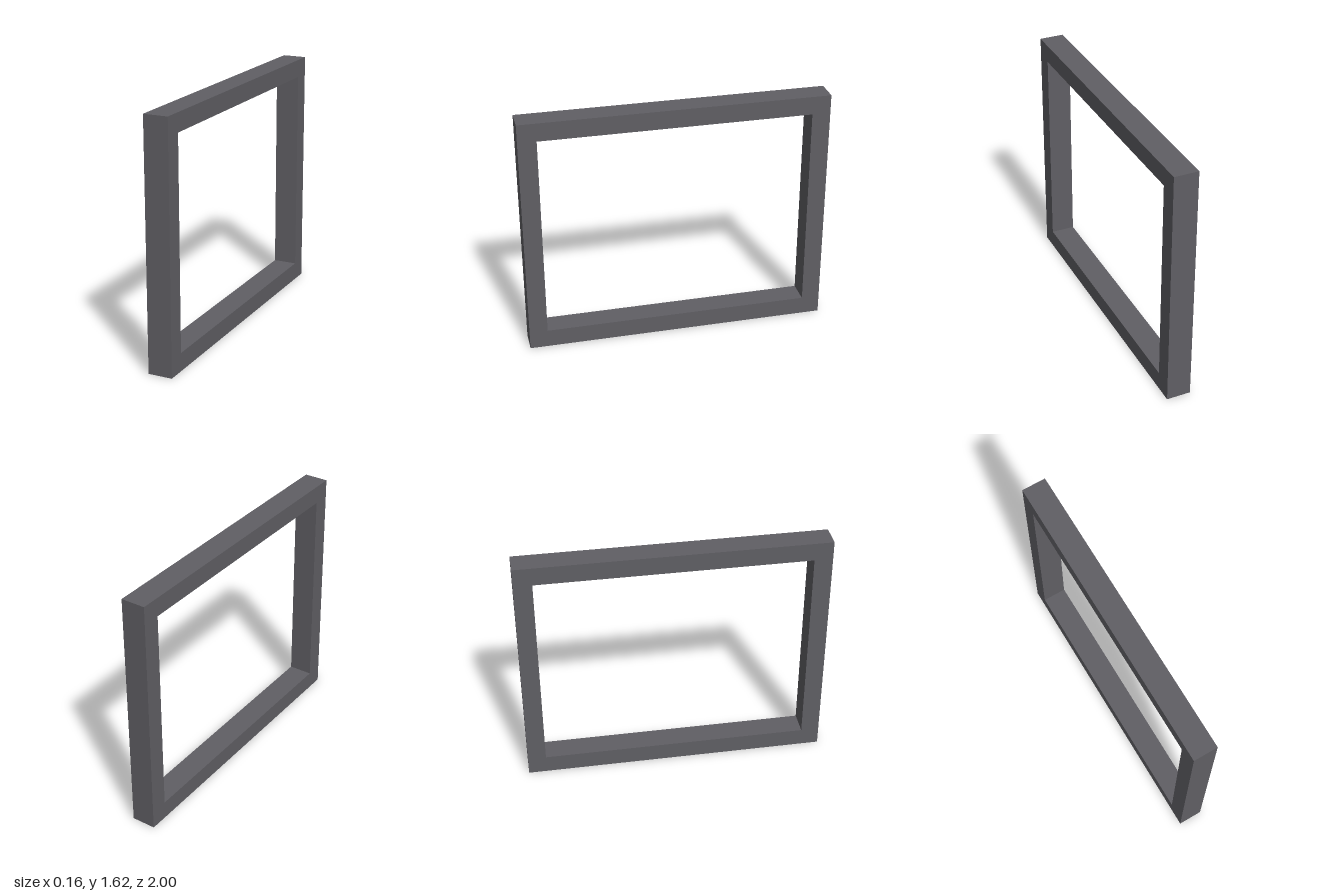
import * as THREE from 'three';

const LENGTH = 2, HEIGHT = 1.615, DEPTH = 0.16, BORDER = 0.12;

// Trace a closed rectangle, inset from the frame's outer outline
function rectangle(path, inset) {
  const x = LENGTH / 2 - inset, bottom = inset, top = HEIGHT - inset;
  path.moveTo(-x, bottom);
  path.lineTo(x, bottom);
  path.lineTo(x, top);
  path.lineTo(-x, top);
  path.closePath();
  return path;
}

export function createModel() {
  const model = new THREE.Group();
  model.name = 'rectangularFrame';

  // Flat border with an open centre, extruded to its depth
  const outline = rectangle(new THREE.Shape(), 0);
  outline.holes.push(rectangle(new THREE.Path(), BORDER));
  const geometry = new THREE.ExtrudeGeometry(outline, { depth: DEPTH, bevelEnabled: false });

  // Centre the depth, then turn the long side along z
  geometry.translate(0, 0, -DEPTH / 2);
  geometry.rotateY(-Math.PI / 2);

  const frame = new THREE.Mesh(geometry, new THREE.MeshStandardMaterial({ color: 0x605f64 }));
  frame.name = 'frame';
  model.add(frame);
  return model;
}
